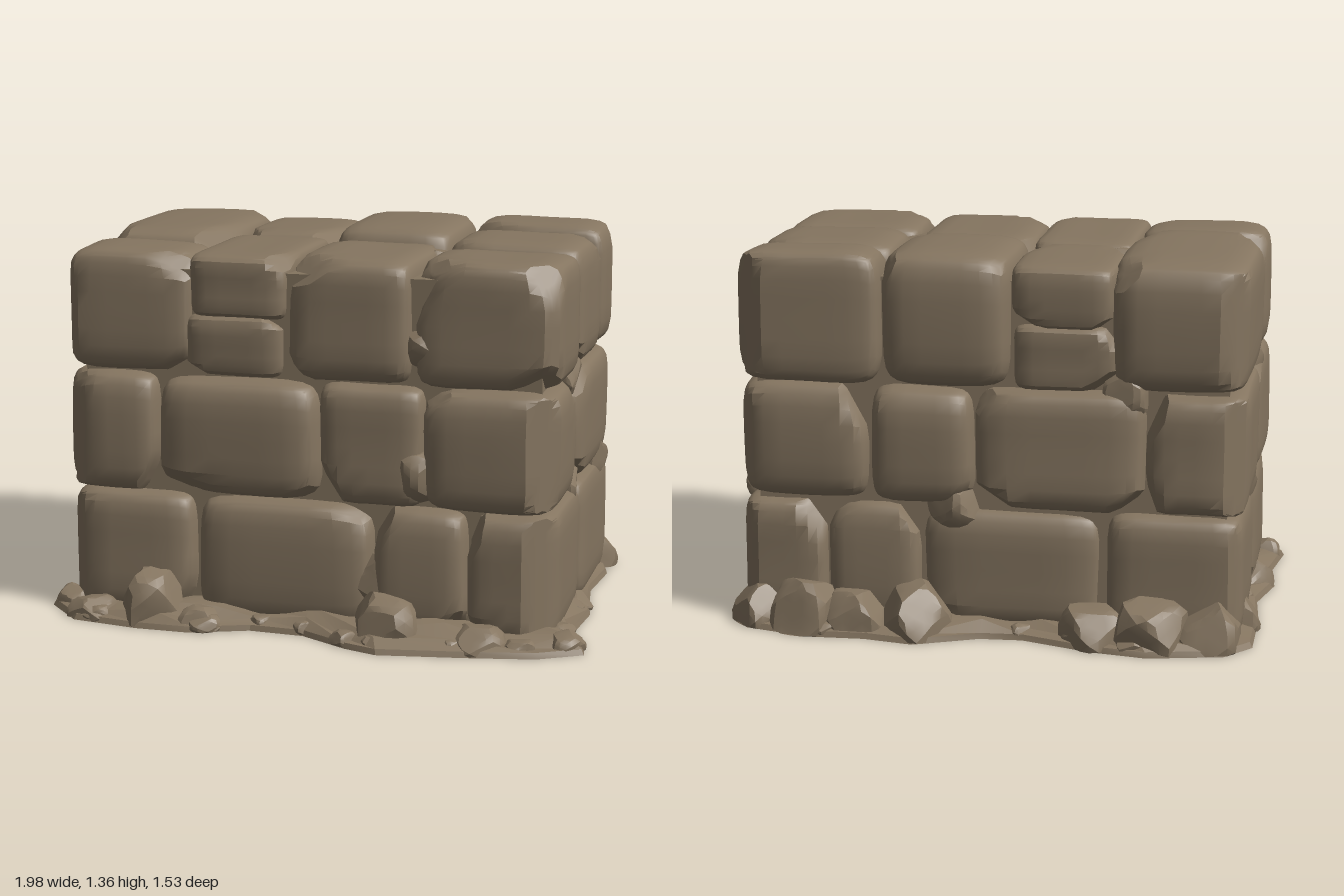
import * as THREE from 'three';
import { mergeVertices, toCreasedNormals } from 'three/addons/utils/BufferGeometryUtils.js';

const stoneMat = new THREE.MeshStandardMaterial({ color: 0x857560 });
stoneMat.name = 'brown stone';

let seed = 7;
function rnd(a = 0, b = 1) {
  seed = (seed * 16807) % 2147483647;
  return a + (b - a) * (seed / 2147483647);
}
const sign = () => (rnd() < 0.5 ? -1 : 1);

function add(parent, name, geometry) {
  const mesh = new THREE.Mesh(geometry, stoneMat);
  mesh.name = name;
  parent.add(mesh);
  return mesh;
}

function weld(geometry) {
  geometry.deleteAttribute('uv');
  geometry.deleteAttribute('normal');
  return mergeVertices(geometry, 1e-4);
}

// Pillow-shaped block filling the given extents, with a few corners chipped flat
function stoneGeometry([x0, x1], [y0, y1], [z0, z1]) {
  const geo = weld(new THREE.BoxGeometry(2, 2, 2, 10, 10, 10));
  const pos = geo.attributes.position;
  const chips = [];
  for (let i = 0; i < 4; i++) {
    const n = new THREE.Vector3(sign() * rnd(0.4, 1), sign() * rnd(0.4, 1), sign() * rnd(0.4, 1));
    const reach = (Math.abs(n.x) + Math.abs(n.y) + Math.abs(n.z)) / n.length();
    chips.push({ n: n.normalize(), d: reach * rnd(0.74, 0.82) });
  }
  const power = rnd(6, 8), phase = rnd(0, 6);
  const taper = [rnd(-0.02, 0.02), rnd(-0.02, 0.02), rnd(-0.02, 0.02)];
  const half = new THREE.Vector3(x1 - x0, y1 - y0, z1 - z0).multiplyScalar(0.5);
  const mid = new THREE.Vector3(x0 + x1, y0 + y1, z0 + z1).multiplyScalar(0.5);
  const p = new THREE.Vector3();
  for (let i = 0; i < pos.count; i++) {
    p.fromBufferAttribute(pos, i);
    // crowd the grid towards the edges, then round it
    for (const k of ['x', 'y', 'z']) p[k] = Math.sin(p[k] * Math.PI / 2);
    const s = Math.abs(p.x) ** power + Math.abs(p.y) ** power + Math.abs(p.z) ** power;
    p.multiplyScalar(s ** (-1 / power));
    for (const { n, d } of chips) {
      const over = p.dot(n) - d;
      if (over > 0) p.addScaledVector(n, -over);
    }
    const { x, y, z } = p;
    p.x += x * (taper[0] * y + 0.01 * Math.sin(3 * z + phase));
    p.y += y * (taper[1] * z + 0.01 * Math.sin(3 * x + phase));
    p.z += z * (taper[2] * x + 0.01 * Math.sin(3 * y + phase));
    p.multiply(half).add(mid);
    // blunt the four upright corners of the wall
    const dx = p.x + 0.02, dz = p.z + 0.05;
    const over = Math.max(0, Math.abs(dx) + Math.abs(dz) - 1.4) / 2;
    pos.setXYZ(i, p.x - Math.sign(dx) * over, Math.max(0.01, p.y), p.z - Math.sign(dz) * over);
  }
  return toCreasedNormals(geo, 0.5);
}

// Blocky angular chunk, flattened where it meets the ground
function rock(parent, name, x, y, z, sx, sy, sz) {
  const geo = weld(new THREE.IcosahedronGeometry(1, 3));
  const pos = geo.attributes.position;
  const turn = new THREE.Euler(rnd(-0.3, 0.3), rnd(0, 3), rnd(-0.3, 0.3));
  const cuts = [[1, 0, 0], [-1, 0, 0], [0, 1, 0], [0, 0, 1], [0, 0, -1], [1, 1, 0.6], [-1, 0.8, -0.7], [0.3, 0.9, -1]]
    .map((c) => new THREE.Vector3(...c).normalize().applyEuler(turn));
  const depths = cuts.map(() => rnd(0.68, 0.86));
  const p = new THREE.Vector3();
  for (let i = 0; i < pos.count; i++) {
    p.fromBufferAttribute(pos, i);
    cuts.forEach((n, k) => {
      const over = p.dot(n) - depths[k];
      if (over > 0) p.addScaledVector(n, -over);
    });
    pos.setXYZ(i, x + p.x * sx, Math.max(0.001, y + p.y * sy), z + p.z * sz);
  }
  add(parent, name, toCreasedNormals(geo, 0.35));
}

// Ground outline, [x, z], running clockwise seen from above
const outline = [
  [-0.95, -0.6], [-0.86, -0.71], [-0.6, -0.77], [-0.4, -0.74], [-0.15, -0.66], [0, -0.67],
  [0.22, -0.77], [0.4, -0.74], [0.6, -0.75], [0.84, -0.69], [0.9, -0.45], [0.88, -0.2],
  [0.91, 0], [0.93, 0.1], [0.91, 0.35], [0.97, 0.44], [0.99, 0.57], [0.84, 0.66],
  [0.6, 0.71], [0.3, 0.76], [0.18, 0.72], [0, 0.62], [-0.2, 0.61], [-0.4, 0.69],
  [-0.6, 0.69], [-0.85, 0.65], [-0.99, 0.5], [-0.96, 0.3], [-0.98, 0.1], [-0.93, -0.1], [-0.95, -0.3],
];

// Low mound of earth with a flat underside
function moundGeometry() {
  const rings = [[0, 0], [1, 0], [0.99, 0.02], [0.93, 0.04], [0.84, 0.065], [0, 0.065]];
  const n = outline.length, verts = [], index = [];
  rings.forEach(([s, y], r) => outline.forEach(([x, z], i) => {
    const bump = r === 3 || r === 4 ? 0.02 * Math.sin(i * 2.3 + r) : 0;
    verts.push(x * s, y + bump, z * s);
  }));
  for (let r = 0; r < rings.length - 1; r++) {
    for (let i = 0; i < n; i++) {
      const j = (i + 1) % n, a = r * n + i, b = r * n + j, c = a + n, d = b + n;
      if (r > 0) index.push(a, d, b);
      if (r < rings.length - 2) index.push(a, c, d);
    }
  }
  const geo = new THREE.BufferGeometry();
  geo.setAttribute('position', new THREE.Float32BufferAttribute(verts, 3));
  geo.setIndex(index);
  return toCreasedNormals(geo, 0.4);
}

// Courses: each column is [x0, x1, z splits from back to front, tops from back to front]
const courses = [
  { name: 'bottomCourse', y: [0, 0.46], columns: [
    [-0.91, -0.43, [-0.62, -0.05, 0.54]], [-0.43, 0.23, [-0.61, -0.02, 0.55]],
    [0.22, 0.565, [-0.62, -0.05, 0.55]], [0.56, 0.873, [-0.62, -0.03, 0.56]]] },
  { name: 'middleCourse', y: [0.455, 0.89], columns: [
    [-0.92, -0.565, [-0.64, 0, 0.55]], [-0.57, 0.03, [-0.65, 0, 0.56]],
    [0.025, 0.405, [-0.65, 0, 0.54]], [0.4, 0.875, [-0.63, 0.055, 0.56]]] },
  { name: 'topCourse', y: [0.885, 1.34], columns: [
    [-0.92, -0.44, [-0.64, 0.17, 0.505], [1.345, 1.325]],
    [-0.1, 0.36, [-0.66, -0.09, 0.515], [1.355, 1.32]],
    [0.36, 0.875, [-0.65, -0.37, 0.07, 0.51], [1.35, 1.335, 1.325]]] },
];

export function createModel() {
  const model = new THREE.Group();
  model.name = 'stoneWall';

  for (const { name, y, columns } of courses) {
    const group = new THREE.Group();
    group.name = name;
    model.add(group);
    for (const [x0, x1, zs, tops = []] of columns) {
      for (let i = 0; i < zs.length - 1; i++) {
        add(group, 'stone', stoneGeometry([x0, x1], [y[0], tops[i] ?? y[1]], [zs[i], zs[i + 1]]));
      }
    }
    // small stones stacked in pairs, front and back of the top course
    if (name === 'topCourse') {
      for (const z of [[-0.61, -0.09], [-0.1, 0.505]]) {
        add(group, 'lowerSmallStone', stoneGeometry([-0.48, -0.1], [0.88, 1.115], z));
        add(group, 'upperSmallStone', stoneGeometry([-0.46, -0.09], [1.09, 1.32], z));
      }
    }
  }

  // mortar core closing the joints
  const core = add(model, 'core', new THREE.BoxGeometry(1.66, 1.25, 1.03));
  core.position.set(-0.02, 0.635, -0.05);

  // wedges caught in the joints, almost flush with the stones
  const wedges = new THREE.Group();
  wedges.name = 'wedges';
  model.add(wedges);
  for (const [x, y, z, s] of [
    [0.78, 0.47, 0.03, 0.1], [0.78, 0.88, 0.05, 0.1], [0.8, 0.48, -0.43, 0.1],
    [0.39, 1.04, 0.4, 0.11], [0.37, 0.58, 0.45, 0.11], [0.23, 0.2, 0.45, 0.11],
    [-0.82, 0.47, -0.1, 0.1], [-0.82, 0.88, 0.14, 0.1], [-0.5, 0.88, -0.54, 0.1],
    [0.1, 0.46, -0.53, 0.11], [0.34, 1.22, 0.02, 0.11], [-0.42, 1.21, -0.08, 0.11], [0.6, 1.22, 0.08, 0.11],
  ]) rock(wedges, 'wedge', x, y, z, s, s, s);

  // ground and rubble around the foot
  add(model, 'groundMound', moundGeometry());
  const rubble = new THREE.Group();
  rubble.name = 'rubble';
  model.add(rubble);
  // [x, z, half width, height]
  for (const [x, z, w, h] of [
    [-0.58, 0.57, 0.13, 0.18], [0.29, 0.6, 0.14, 0.16], [0.62, 0.6, 0.11, 0.08], [0.91, 0.52, 0.08, 0.06],
    [-0.8, 0.58, 0.1, 0.07], [-0.38, 0.6, 0.1, 0.07], [-0.92, 0.48, 0.07, 0.07],
    [-0.6, -0.63, 0.15, 0.18], [-0.8, -0.59, 0.14, 0.16], [-0.4, -0.63, 0.13, 0.14],
    [0.24, -0.64, 0.14, 0.17], [0.44, -0.63, 0.13, 0.15], [0.63, -0.63, 0.14, 0.18], [0.8, -0.59, 0.12, 0.14],
    [-0.87, -0.38, 0.1, 0.12], [-0.88, 0.1, 0.1, 0.09], [0.86, 0.03, 0.07, 0.06],
  ]) rock(rubble, 'rock', x, h * 0.2, z, w, h, w);
  outline.forEach(([x, z]) => {
    const s = rnd(0.045, 0.075), k = rnd(0.89, 0.92);
    rock(rubble, 'pebble', x * k, 0.02, z * k, s, s * 0.6, s);
  });
  return model;
}
